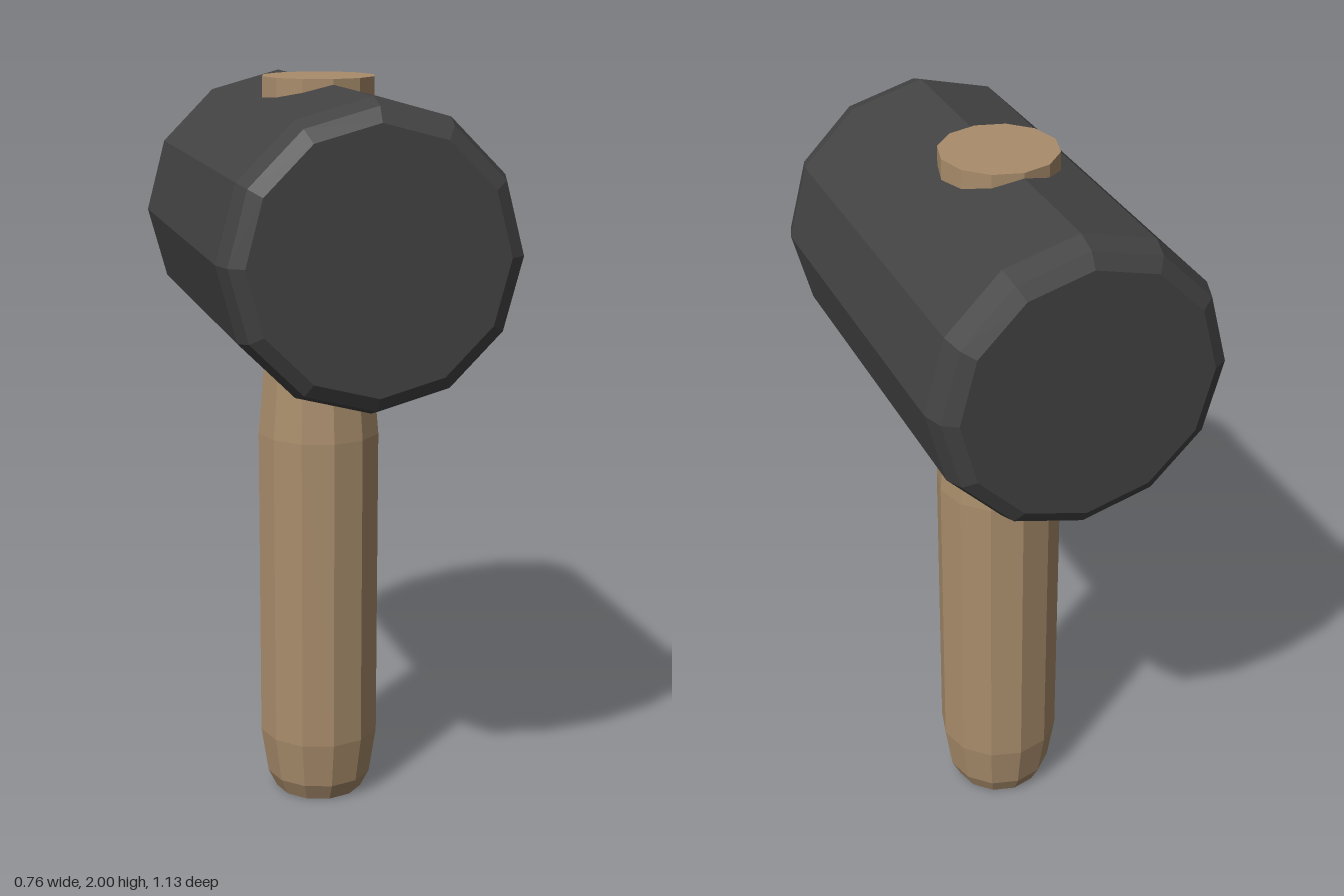
import * as THREE from 'three';

const SIDES = 12;

// Faceted solid turned about y from [radius, height] pairs, bottom to top
function turned(name, profile, material) {
  const points = profile.map(([r, h]) => new THREE.Vector2(r, h));
  const mesh = new THREE.Mesh(new THREE.LatheGeometry(points, SIDES), material);
  mesh.name = name;
  return mesh;
}

export function createModel() {
  const wood = new THREE.MeshStandardMaterial({ color: 0xa98d6c, flatShading: true });
  wood.name = 'wood';
  const rubber = new THREE.MeshStandardMaterial({ color: 0x434343, flatShading: true });
  rubber.name = 'dark rubber';

  const model = new THREE.Group();
  model.name = 'mallet';

  // Handle: rounded butt, straight grip, narrower neck running through the head
  const handle = turned('handle', [
    [0, 0], [0.123, 0], [0.148, 0.05], [0.168, 0.18],
    [0.168, 1.05], [0.15, 1.25], [0.15, 2], [0, 2],
  ], wood);
  handle.position.z = -0.028;

  // Head: barrel along z with the same two-step bevel at both ends
  const end = [[0, 0.563], [0.327, 0.563], [0.364, 0.54], [0.382, 0.485]];
  const head = turned('head', [
    ...end.map(([r, h]) => [r, -h]),
    ...[...end].reverse(),
  ], rubber);
  head.rotation.x = Math.PI / 2;
  head.position.y = 1.604;

  model.add(handle, head);
  return model;
}
